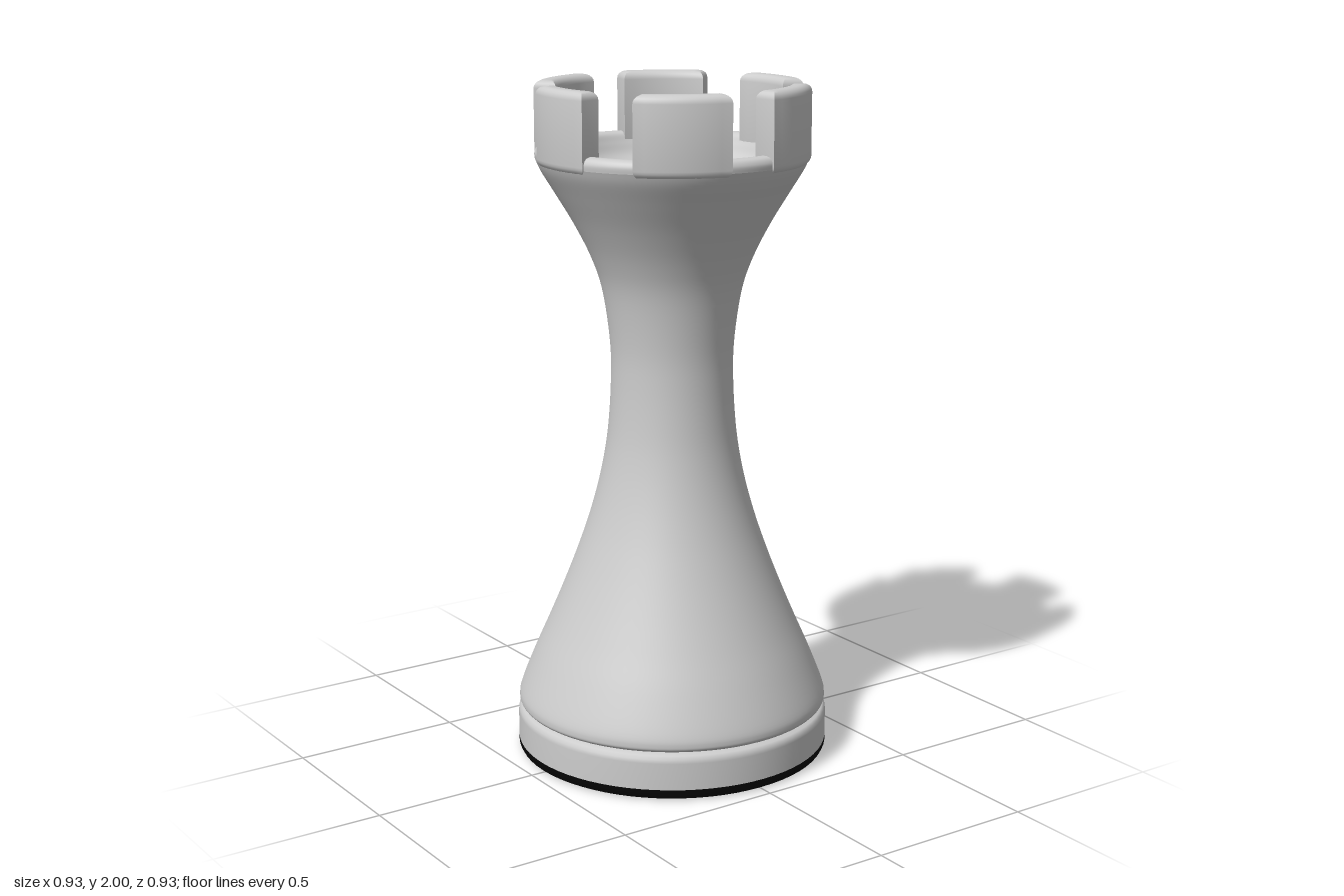
import * as THREE from 'three';

const SEGMENTS = 72;
const v2 = (p) => new THREE.Vector2(p[0], p[1]);

export function createModel() {
  const stone = new THREE.MeshStandardMaterial({ color: 0xcccccc });
  stone.name = 'light grey';
  const felt = new THREE.MeshStandardMaterial({ color: 0x050505 });
  felt.name = 'black';

  const model = new THREE.Group();
  model.name = 'rook';

  const add = (name, geometry, material) => {
    const mesh = new THREE.Mesh(geometry, material);
    mesh.name = name;
    model.add(mesh);
    return mesh;
  };
  // Smooth lathe through [radius, height] points
  const turned = (points, steps) => new THREE.LatheGeometry(
    new THREE.SplineCurve(points.map(v2)).getPoints(steps).map((p) => p.setX(Math.max(p.x, 0))), SEGMENTS);

  // Felt pad under the foot
  add('feltPad', new THREE.LatheGeometry([
    [0, 0], [0.45, 0], [0.45, 0], [0.461, 0.006], [0.466, 0.016], [0.466, 0.032],
  ].map(v2), SEGMENTS), felt);

  // Foot disc with a rounded upper edge
  add('foot', new THREE.LatheGeometry([
    [0.466, 0.032], [0.466, 0.112], [0.464, 0.124], [0.457, 0.133], [0.44, 0.138],
  ].map(v2), SEGMENTS), stone);

  // Waisted body, from the groove above the foot up to the flared head
  add('body', turned([
    [0.44, 0.138], [0.456, 0.146], [0.462, 0.16], [0.455, 0.195], [0.413, 0.3],
    [0.369, 0.4], [0.327, 0.5], [0.288, 0.6], [0.253, 0.7], [0.224, 0.8],
    [0.202, 0.9], [0.188, 1.0], [0.18, 1.13], [0.182, 1.25], [0.203, 1.4],
    [0.236, 1.5], [0.286, 1.6], [0.34, 1.69], [0.378, 1.752], [0.393, 1.785],
  ], 100), stone);

  // Rounded rim and the shallow bowl inside it
  add('rimAndBowl', turned([
    [0.393, 1.785], [0.394, 1.803], [0.384, 1.818], [0.362, 1.822], [0.342, 1.815],
    [0.328, 1.79], [0.305, 1.752], [0.25, 1.717], [0.16, 1.692], [0.08, 1.683], [0, 1.68],
  ], 60), stone);

  // Battlements: curved blocks with rounded edges
  const bevel = 0.024;
  const merlon = (halfAngle) => {
    const inner = 0.332 + bevel;
    const outer = 0.398 - bevel;
    const a = halfAngle - bevel / 0.365;
    const shape = new THREE.Shape();
    shape.absarc(0, 0, outer, -a, a, false);
    shape.absarc(0, 0, inner, a, -a, true);
    shape.closePath();
    const bottom = 1.77;
    return new THREE.ExtrudeGeometry(shape, {
      depth: 2 - bottom - 2 * bevel, bevelEnabled: true, bevelThickness: bevel,
      bevelSize: bevel, bevelSegments: 5, curveSegments: 14,
    }).rotateX(-Math.PI / 2).translate(0, bottom + bevel, 0);
  };
  for (let i = 0; i < 6; i++) {
    const onSide = i % 3 === 0;
    const block = add('merlon' + (i + 1), smooth(merlon(THREE.MathUtils.degToRad(onSide ? 18 : 20.3))), stone);
    block.rotation.y = i * Math.PI / 3;
  }
  return model;
}

// Average normals of coincident corners that meet at under 50 degrees
function smooth(geometry) {
  const pos = geometry.attributes.position;
  const nor = geometry.attributes.normal;
  const groups = new Map();
  const normals = [];
  for (let i = 0; i < pos.count; i++) {
    const key = [pos.getX(i), pos.getY(i), pos.getZ(i)].map((c) => Math.round(c * 1e4)).join();
    if (!groups.has(key)) groups.set(key, []);
    groups.get(key).push(i);
    normals.push(new THREE.Vector3().fromBufferAttribute(nor, i));
  }
  for (const group of groups.values()) {
    for (const i of group) {
      const sum = new THREE.Vector3();
      for (const j of group) if (normals[i].dot(normals[j]) > 0.64) sum.add(normals[j]);
      sum.normalize();
      nor.setXYZ(i, sum.x, sum.y, sum.z);
    }
  }
  return geometry;
}
